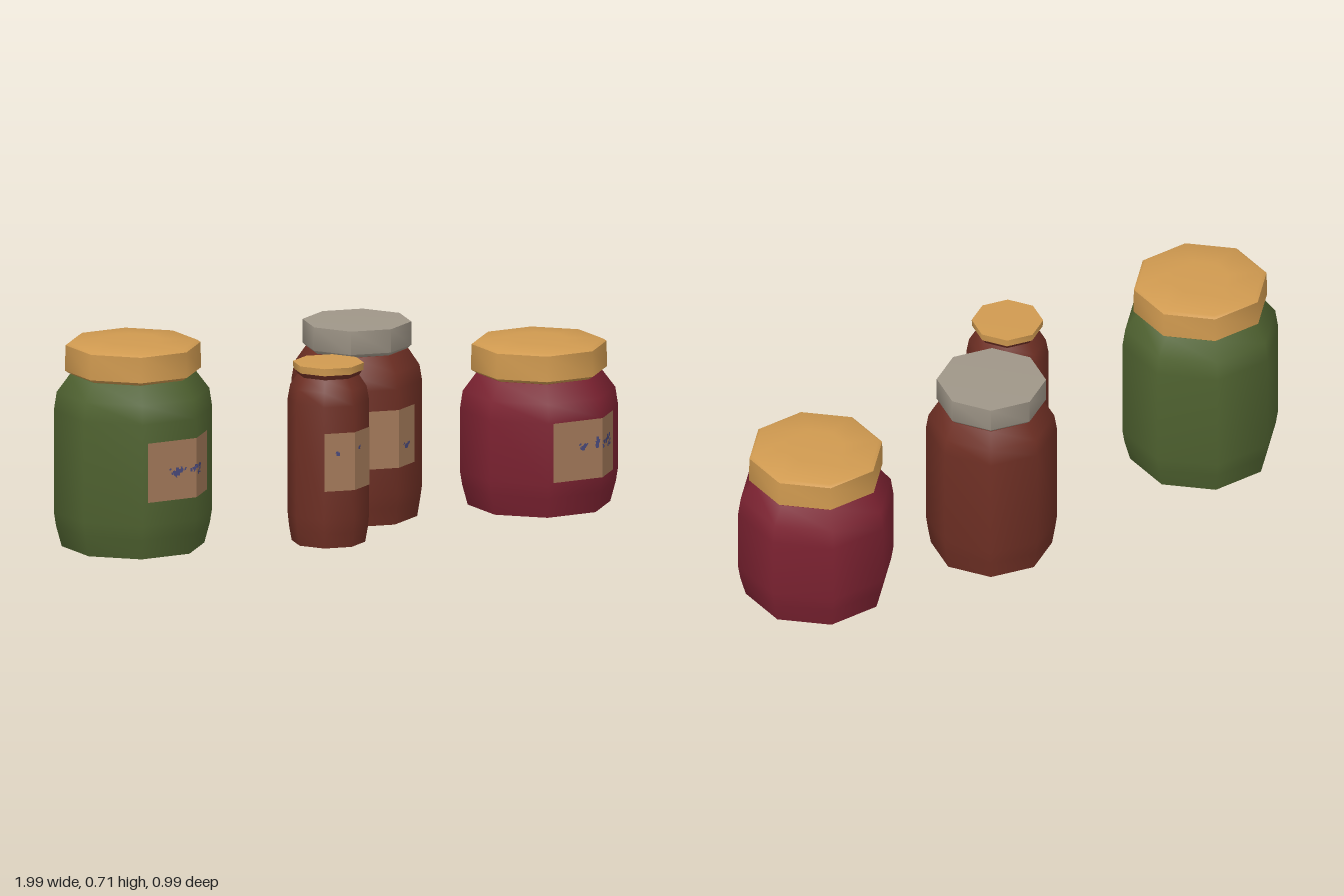
import * as THREE from 'three';
import { toCreasedNormals, mergeGeometries } from 'three/addons/utils/BufferGeometryUtils.js';

const mat = (name, color, side = THREE.FrontSide) => {
  const m = new THREE.MeshStandardMaterial({ color, side });
  m.name = name;
  return m;
};

// Eight-sided turned part; profile is [radius, height] from bottom to top
function turned(name, profile, turn, material) {
  const points = profile.map(([r, y]) => new THREE.Vector2(r, y));
  const geo = toCreasedNormals(new THREE.LatheGeometry(points, 8, turn), 0.87);
  const mesh = new THREE.Mesh(geo, material);
  mesh.name = name;
  return mesh;
}

// Depth of the octagon's front surface at a given x
function frontDepth(x, r, turn) {
  const fx = r * Math.sin(turn), fz = r * Math.cos(turn);
  const side = turn + (x < fx ? -1 : 1) * Math.PI / 4;
  const t = (x - fx) / (r * Math.sin(side) - fx);
  return fz + t * (r * Math.cos(side) - fz);
}

// Thin sheet wrapped onto the front of the jar, folded at the front edge
function wrapped(x0, x1, y0, y1, r, turn, lift, skew = 0) {
  const fold = r * Math.sin(turn);
  const mid = fold > x0 && fold < x1 ? fold : (x0 + x1) / 2;
  const geo = new THREE.PlaneGeometry(2, 1, 2, 1);
  const p = geo.attributes.position;
  for (let i = 0; i < p.count; i++) {
    const top = p.getY(i) > 0;
    const x = [x0, mid, x1][Math.round(p.getX(i)) + 1] + (top ? skew : 0);
    p.setXYZ(i, x, top ? y1 : y0, frontDepth(x, r, turn) + lift);
  }
  return toCreasedNormals(geo, 0.3);
}

// Scribbled strokes scattered in small boxes [x0, x1, y0, y1, count]
function scribbles(boxes, r, turn) {
  let seed = 7;
  const rand = () => (seed = (seed * 16807) % 2147483647) / 2147483647;
  const strokes = [];
  for (const [x0, x1, y0, y1, count] of boxes) {
    for (let i = 0; i < count; i++) {
      const x = x0 + (x1 - x0) * rand(), y = y0 + (y1 - y0) * rand();
      const w = 0.005 + 0.008 * rand(), h = 0.005 + 0.01 * rand();
      strokes.push(wrapped(x - w / 2, x + w / 2, y - h / 2, y + h / 2, r, turn, 0.008, (rand() - 0.5) * 0.012));
    }
  }
  return mergeGeometries(strokes);
}

// Large jar body; h is the height of the neck
const wideBody = h => [[0, 0], [0.243, 0], [0.262, 0.07], [0.27, 0.12], [0.27, h - 0.125],
  [0.26, h - 0.06], [0.215, h], [0, h]];
// Cloth-style lid sitting on the neck
const clothLid = h => [[0, h], [0.212, h], [0.232, h + 0.012], [0.23, h + 0.1], [0.218, h + 0.108], [0.1, h + 0.114], [0, h + 0.115]];

export function createModel() {
  const model = new THREE.Group();
  const green = mat('green preserve', 0x4f6230);
  const red = mat('red preserve', 0x7c2231);
  const brown = mat('brown preserve', 0x6e2f24);
  const tan = mat('tan lid', 0xd09a50);
  const grey = mat('grey metal', 0x9f9688);
  const paper = mat('label paper', 0xa47a5a, THREE.DoubleSide);
  const ink = mat('blue ink', 0x4a4a7c, THREE.DoubleSide);

  const jars = [
    { name: 'greenJar', x: -0.73, z: -0.23, r: 0.27, turn: 0.16, fill: green, top: tan,
      body: wideBody(0.595), lid: clothLid(0.595),
      label: [-0.14, 0.155, 0.2, 0.405],
      marks: [[-0.06, 0.0, 0.28, 0.31, 18], [0.02, 0.075, 0.28, 0.31, 16]] },
    { name: 'redJar', x: 0.727, z: 0.217, r: 0.27, turn: 0.16, fill: red, top: tan,
      body: wideBody(0.455), lid: clothLid(0.455),
      label: [-0.142, 0.153, 0.125, 0.33],
      marks: [[-0.045, -0.02, 0.225, 0.25, 9], [0.015, 0.03, 0.22, 0.27, 7],
        [0.04, 0.055, 0.23, 0.25, 5], [0.07, 0.115, 0.22, 0.26, 16]] },
    { name: 'brownJar', x: 0.147, z: -0.063, r: 0.222, turn: -0.07, fill: brown, top: grey,
      body: [[0, 0], [0.205, 0], [0.215, 0.06], [0.222, 0.11], [0.222, 0.47], [0.213, 0.525], [0.175, 0.58], [0, 0.58]],
      lid: [[0, 0.58], [0.172, 0.58], [0.185, 0.592], [0.185, 0.673], [0, 0.675]],
      label: [-0.134, 0.091, 0.2, 0.4], marks: [[0.015, 0.05, 0.26, 0.28, 9]] },
    { name: 'smallJar', x: -0.207, z: 0.178, r: 0.139, turn: -0.07, fill: brown, top: tan,
      body: [[0, 0], [0.125, 0], [0.134, 0.05], [0.139, 0.1], [0.139, 0.49], [0.13, 0.54],
        [0.105, 0.578], [0.117, 0.597], [0, 0.597]],
      lid: [[0, 0.595], [0.119, 0.595], [0.121, 0.62], [0, 0.622]],
      label: [-0.106, 0.087, 0.2, 0.4], marks: [[-0.07, -0.06, 0.325, 0.335, 2], [0.01, 0.017, 0.33, 0.35, 3]] },
  ];

  for (const j of jars) {
    const jar = new THREE.Group();
    jar.name = j.name;
    jar.position.set(j.x, 0, j.z);
    jar.add(turned('body', j.body, j.turn, j.fill), turned('lid', j.lid, j.turn, j.top));
    const label = new THREE.Mesh(wrapped(...j.label, j.r, j.turn, 0.004), paper);
    label.name = 'label';
    const marks = new THREE.Mesh(scribbles(j.marks, j.r, j.turn), ink);
    marks.name = 'labelMarks';
    jar.add(label, marks);
    model.add(jar);
  }
  return model;
}
